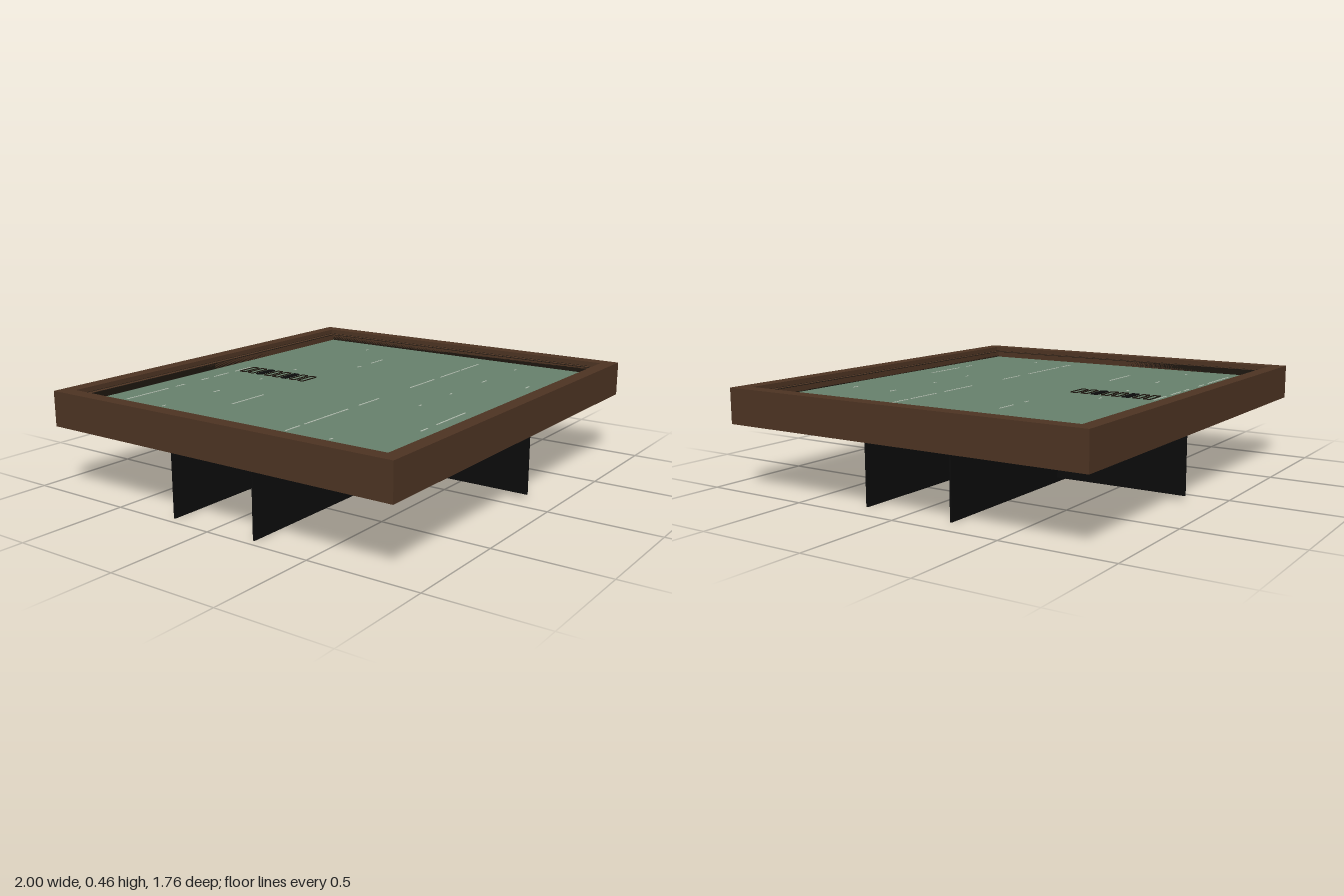
import * as THREE from 'three';

const material = (name, color, side = THREE.DoubleSide) => {
  const m = new THREE.MeshStandardMaterial({ color, side });
  m.name = name;
  return m;
};

export function createModel() {
  const wood = material('brown wood', 0x4c3322);
  const trim = material('dark trim', 0x1d160f);
  const felt = material('green surface', 0x66806b);
  const black = material('black', 0x0b0b0b);
  const chalk = material('pale line', 0xb4c0b2);

  const HX = 1, HZ = 0.882, TOP = 0.455, BOARD = 0.405;
  const model = new THREE.Group();
  model.name = 'framedTable';

  const add = (name, geometry, mat, parent = model) => {
    const mesh = new THREE.Mesh(geometry, mat);
    mesh.name = name;
    parent.add(mesh);
    return mesh;
  };
  const group = (name) => {
    const g = new THREE.Group();
    g.name = name;
    model.add(g);
    return g;
  };
  const box = (name, w, h, d, x, y, z, mat, parent) =>
    add(name, new THREE.BoxGeometry(w, h, d), mat, parent).position.set(x, y, z);

  // Rectangular ring swept from one [inset, height] pair to the next
  const ring = (profile) => {
    const corners = [[1, 1], [1, -1], [-1, -1], [-1, 1]];
    const pos = [];
    const at = ([inset, y], [sx, sz]) => [sx * (HX - inset), y, sz * (HZ - inset)];
    for (let i = 0; i < profile.length - 1; i++) {
      for (let c = 0; c < 4; c++) {
        const a = at(profile[i], corners[c]), b = at(profile[i], corners[(c + 1) % 4]);
        const d = at(profile[i + 1], corners[c]), e = at(profile[i + 1], corners[(c + 1) % 4]);
        pos.push(...a, ...b, ...e, ...a, ...e, ...d);
      }
    }
    const g = new THREE.BufferGeometry();
    g.setAttribute('position', new THREE.Float32BufferAttribute(pos, 3));
    g.computeVertexNormals();
    return g;
  };

  // Hollow stepped frame with dark seams at the foot of each step
  const frame = group('frame');
  add('frameShell', ring([[0, 0.296], [0, TOP], [0.066, TOP], [0.066, 0.432], [0.1, 0.432], [0.1, 0.39]]), wood, frame);
  add('outerSeam', ring([[0.066, 0.434], [0.073, 0.434]]), trim, frame);
  add('innerSeam', ring([[0.094, 0.434], [0.1, 0.434], [0.1, BOARD]]), trim, frame);

  // Playing surface
  box('board', 1.8, 0.016, 1.564, 0, BOARD - 0.008, 0, felt);

  // Crossed upright plates that carry the board
  const base = group('base');
  for (const s of [-1, 1]) {
    box('longPlate', 1.865, 0.385, 0.008, -0.0325, 0.1925, s * 0.214, black, base);
  }
  box('crossPlate', 0.008, 0.367, 1.7, 0.1, 0.2035, 0.007, black, base);

  // Thin outline strips under the board
  const strips = group('undersideStrips');
  for (const sx of [-1, 1]) {
    for (const z of [-0.67, -0.225, 0.225, 0.67]) {
      box('strip', 0.66, 0.006, 0.012, sx * 0.45, 0.386, z, black, strips);
    }
    box('sideStrip', 0.012, 0.006, 1.34, sx * 0.78, 0.386, 0, black, strips);
  }

  // Broken hairlines on the surface: [z, start x, end x]
  const lines = group('surfaceLines');
  const segments = [
    [-0.665, -0.78, -0.53], [-0.665, -0.48, -0.42], [-0.665, -0.31, -0.26],
    [-0.665, -0.22, -0.12], [-0.665, -0.07, 0.05], [-0.228, -0.58, -0.37],
    [-0.228, 0.36, 0.39], [-0.228, 0.48, 0.58], [0.232, -0.78, -0.69],
    [0.232, -0.66, -0.36], [0.232, -0.28, -0.13], [0.232, 0.13, 0.34],
    [0.232, 0.4, 0.58], [0.232, 0.6, 0.77], [0.668, -0.48, -0.43],
    [0.668, -0.36, -0.13], [0.668, 0.43, 0.46],
  ];
  for (const z of [-0.447, 0.447]) {
    for (const x of [-0.77, -0.13, 0.13, 0.76]) segments.push([z, x - 0.01, x + 0.01]);
    segments.push([z, Math.sign(z) * 0.44 - 0.02, Math.sign(z) * 0.44 + 0.02]);
  }
  for (const [z, x0, x1] of segments) {
    box('line', x1 - x0, 0.002, 0.006, (x0 + x1) / 2, BOARD + 0.001, z, chalk, lines);
  }

  // Column of small rounded markers, two of them filled
  const rounded = (Shape, w, h, r) => {
    const s = new Shape();
    s.moveTo(-w + r, -h);
    s.lineTo(w - r, -h);
    s.quadraticCurveTo(w, -h, w, -h + r);
    s.lineTo(w, h - r);
    s.quadraticCurveTo(w, h, w - r, h);
    s.lineTo(-w + r, h);
    s.quadraticCurveTo(-w, h, -w, h - r);
    s.lineTo(-w, -h + r);
    s.quadraticCurveTo(-w, -h, -w + r, -h);
    return s;
  };
  const markers = group('markers');
  for (let i = 0; i < 8; i++) {
    const filled = i === 2 || i === 5;
    const shape = rounded(THREE.Shape, 0.056, 0.018, 0.008);
    if (!filled) shape.holes.push(rounded(THREE.Path, 0.052, 0.014, 0.006));
    const geo = new THREE.ExtrudeGeometry(shape, { depth: 0.004, bevelEnabled: false, curveSegments: 3 });
    geo.rotateX(-Math.PI / 2);
    add(filled ? 'filledMarker' : 'openMarker', geo, filled ? black : trim, markers)
      .position.set(-0.002, BOARD, -0.63 + i * 0.0515);
  }

  return model;
}
